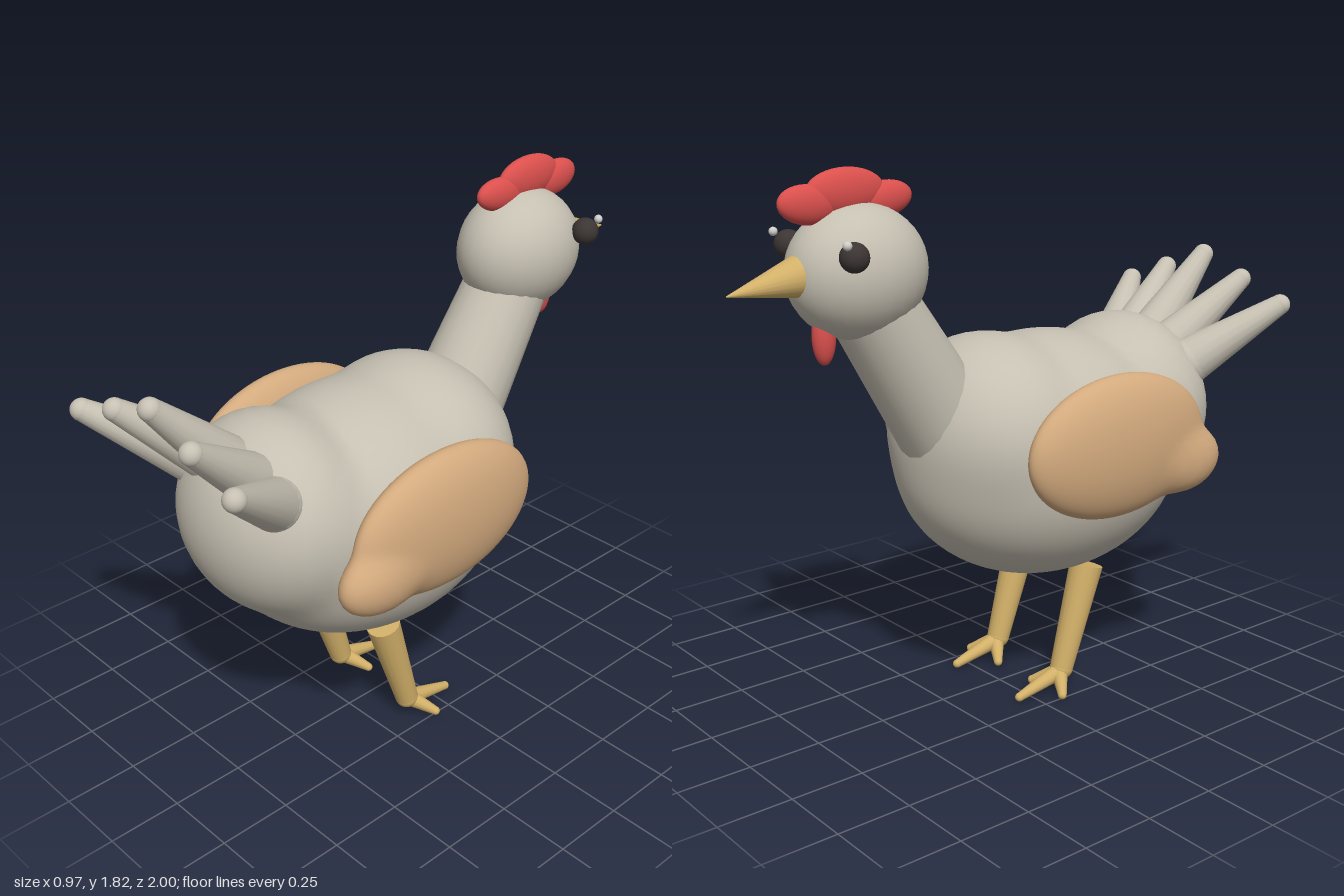
import * as THREE from 'three';
import { mergeVertices } from 'three/addons/utils/BufferGeometryUtils.js';

const mat = (name, color) => {
  const m = new THREE.MeshStandardMaterial({ color });
  m.name = name;
  return m;
};
const V = (x, y, z) => new THREE.Vector3(x, y, z);

export function createModel() {
  const model = new THREE.Group();
  model.name = 'hen';
  const plumage = mat('plumage', 0xc6c0b2);
  const tan = mat('wing tan', 0xd3aa7e);
  const horn = mat('beak and legs', 0xd2b069);
  const red = mat('comb red', 0xdb504d);
  const dark = mat('eye dark', 0x3b3533);
  const glint = mat('eye glint', 0xcfcdc8);

  const add = (name, geo, material, parent = model) => {
    const mesh = new THREE.Mesh(geo, material);
    mesh.name = name;
    parent.add(mesh);
    return mesh;
  };

  // Ellipsoid from centre and radii
  const ball = (name, c, r, material, parent, tilt = 0) => {
    const m = add(name, new THREE.SphereGeometry(1, 28, 20), material, parent);
    m.position.set(...c);
    m.scale.set(...r);
    m.rotation.x = tilt;
    return m;
  };

  // Tapered round limb between two points
  const limb = (name, a, b, ra, rb, material, parent, sides = 16) => {
    const dir = b.clone().sub(a);
    const m = add(name, new THREE.CylinderGeometry(rb, ra, dir.length(), sides), material, parent);
    m.position.copy(a).lerp(b, 0.5);
    m.quaternion.setFromUnitVectors(V(0, 1, 0), dir.normalize());
    return m;
  };

  // Skin around several ellipsoids, softly blended; rays start in the first one
  const blend = (name, blobs, k, material, parent) => {
    const [c0, r0] = blobs[0].map(a => V(...a));
    const parts = blobs.map(([c, r]) => ({ c: V(...c), r: V(...r), s: Math.min(...r) }));
    const q = V();
    const field = p => {
      let sum = 0;
      for (const { c, r, s } of parts)
        sum += Math.exp(-(q.copy(p).sub(c).divide(r).length() - 1) * s / k);
      return -k * Math.log(sum);
    };
    const raw = new THREE.SphereGeometry(1, 56, 40);
    raw.deleteAttribute('uv');
    raw.deleteAttribute('normal');
    const geo = mergeVertices(raw, 1e-4);
    const pos = geo.attributes.position;
    const p = V(), dir = V();
    for (let i = 0; i < pos.count; i++) {
      dir.fromBufferAttribute(pos, i).multiply(r0);
      const at = t => field(p.copy(dir).multiplyScalar(t).add(c0));
      let t = 2.2;
      while (t > 0.5 && at(t) > 0) t -= 0.02;
      let lo = t, hi = t + 0.02;
      for (let n = 0; n < 12; n++) {
        const mid = (lo + hi) / 2;
        if (at(mid) > 0) hi = mid; else lo = mid;
      }
      at(lo);
      pos.setXYZ(i, p.x, p.y, p.z);
    }
    geo.computeVertexNormals();
    return add(name, geo, material, parent);
  };

  // Body: belly, breast and rump
  blend('body', [
    [[0, 0.82, 0.18], [0.42, 0.42, 0.54]],
    [[0, 0.93, -0.05], [0.37, 0.33, 0.32]],
    [[0, 0.93, 0.55], [0.34, 0.33, 0.28]],
  ], 0.012, plumage);

  // Neck and head
  limb('neck', V(0, 0.90, -0.18), V(0, 1.45, -0.536), 0.17, 0.138, plumage, model, 20);
  ball('head', [0, 1.515, -0.555], [0.188, 0.21, 0.232], plumage);
  limb('beak', V(0, 1.52, -0.75), V(0, 1.485, -1), 0.068, 0.002, horn, model, 20);

  // Comb and wattle
  const comb = new THREE.Group();
  comb.name = 'comb';
  model.add(comb);
  ball('combMiddle', [0, 1.755, -0.59], [0.04, 0.073, 0.14], red, comb);
  ball('combBack', [0, 1.725, -0.455], [0.037, 0.056, 0.105], red, comb, -0.1);
  ball('combFront', [0, 1.725, -0.72], [0.037, 0.06, 0.103], red, comb, 0.1);
  ball('wattle', [0, 1.33, -0.68], [0.035, 0.09, 0.038], red);

  // Fan tail of five feathers
  const tail = new THREE.Group();
  tail.name = 'tail';
  model.add(tail);
  for (let i = -2; i <= 2; i++) {
    const n = Math.abs(i);
    const base = V(i * 0.097, 1.145 - 0.014 * n * n, 0.69);
    const tip = V(i * 0.186, 1.425 - 0.068 * n, 0.965);
    limb('tailFeather', base, tip, 0.085, 0.036, plumage, tail);
    ball('featherRoot', base.toArray(), [0.085, 0.085, 0.085], plumage, tail);
    ball('featherTip', tip.toArray(), [0.036, 0.036, 0.036], plumage, tail);
  }

  for (const s of [1, -1]) {
    const side = s > 0 ? 'left' : 'right';

    // Wing with rounded rear lobe
    blend(side + 'Wing', [
      [[s * 0.39, 0.92, 0.18], [0.097, 0.238, 0.375]],
      [[s * 0.403, 0.825, 0.46], [0.08, 0.11, 0.162]],
    ], 0.008, tan);

    // Eye
    ball(side + 'Eye', [s * 0.182, 1.588, -0.682], [0.045, 0.045, 0.045], dark);
    ball(side + 'EyeGlint', [s * 0.205, 1.627, -0.72], [0.014, 0.014, 0.014], glint);

    // Leg and three toes
    const leg = new THREE.Group();
    leg.name = side + 'Leg';
    leg.position.x = s * 0.175;
    model.add(leg);
    const ankle = V(0, 0.075, 0.135);
    limb('shank', V(0, 0.435, 0.245), ankle, 0.058, 0.04, horn, leg);
    ball('ankle', ankle.toArray(), [0.04, 0.04, 0.04], horn, leg);
    for (const [x, z] of [[0, -0.055], [0.08, 0.07], [-0.08, 0.07]]) {
      const tip = V(x, 0.02, z);
      limb('toe', V(0, 0.065, 0.125), tip, 0.03, 0.015, horn, leg, 12);
      ball('toeTip', tip.toArray(), [0.015, 0.015, 0.015], horn, leg);
    }
  }

  return model;
}
